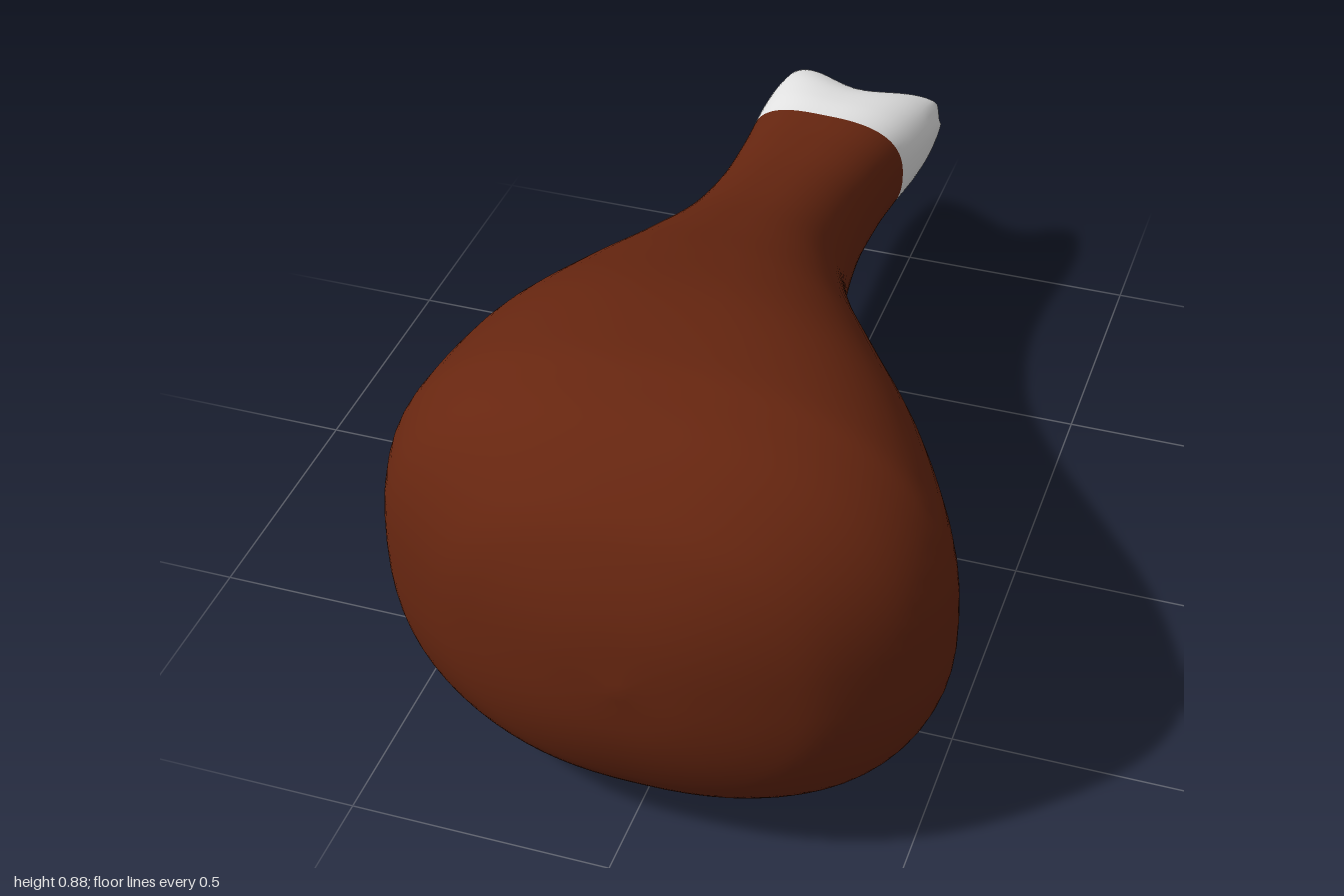
import * as THREE from 'three';
import { mergeVertices } from 'three/addons/utils/BufferGeometryUtils.js';

const MID_Y = 0.437;
const SIDES = 72;
const smooth = THREE.MathUtils.smoothstep;
const lerp = THREE.MathUtils.lerp;

// Smooth interpolation through rows of [position, left x, right x, half height]
function profile(rows) {
  const a = new THREE.CatmullRomCurve3(rows.map(r => new THREE.Vector3(r[0], r[1], r[2])), false, 'catmullrom', 0.5);
  const b = new THREE.CatmullRomCurve3(rows.map(r => new THREE.Vector3(r[3], 0, 0)), false, 'catmullrom', 0.5);
  return t => {
    const p = a.getPoint(t);
    return { pos: p.x, left: p.y, right: p.z, half: Math.max(0, b.getPoint(t).x) };
  };
}

// Loft of rounded-box rings; zAt(position, u) bends each ring along z, u = -1..1 across x
function loft(rows, steps, zAt) {
  const section = profile(rows);
  const power = 2 / 2.45;
  const round = v => Math.sign(v) * Math.pow(Math.abs(v), power);
  const positions = [], index = [];
  for (let i = 0; i <= steps; i++) {
    const s = section(i / steps);
    for (let j = 0; j < SIDES; j++) {
      const a = (j / SIDES) * Math.PI * 2;
      const u = round(Math.cos(a)), v = round(Math.sin(a));
      positions.push((s.left + s.right) / 2 + u * (s.right - s.left) / 2, MID_Y + v * s.half, zAt(s.pos, u));
      if (i < steps) {
        const p = i * SIDES + j, q = i * SIDES + (j + 1) % SIDES;
        index.push(p, p + SIDES, q, q, p + SIDES, q + SIDES);
      }
    }
  }
  let geometry = new THREE.BufferGeometry();
  geometry.setAttribute('position', new THREE.Float32BufferAttribute(positions, 3));
  geometry.setIndex(index);
  geometry = mergeVertices(geometry, 1e-5);
  geometry.computeVertexNormals();
  return geometry;
}

// Curved line where the meat ends on the bone
const seamBend = u => -0.03 * u * u + 0.008 * u;

// End of the bone: two knuckles with a valley between them
function boneTip(u) {
  if (u < -0.84) return lerp(-0.93, -1.0, smooth(u, -1, -0.84));
  if (u < 0.09) return lerp(-1.0, -0.918, smooth(u, -0.84, 0.09));
  if (u < 0.87) return lerp(-0.918, -0.965, smooth(u, 0.09, 0.87));
  return lerp(-0.965, -0.91, smooth(u, 0.87, 1));
}

export function createModel() {
  const meat = new THREE.MeshStandardMaterial({ color: 0x672610 });
  meat.name = 'roastedBrown';
  const bone = new THREE.MeshStandardMaterial({ color: 0xe8e8e8 });
  bone.name = 'boneWhite';

  const group = new THREE.Group();
  group.name = 'drumstick';

  // Meat: from the rounded front down to the neck
  const meatRows = [
    [1.0, 0.03, 0.03, 0],
    [0.985, -0.11, 0.17, 0.13],
    [0.95, -0.24, 0.3, 0.235],
    [0.9, -0.345, 0.395, 0.315],
    [0.8, -0.47, 0.495, 0.4],
    [0.7, -0.525, 0.535, 0.43],
    [0.6, -0.537, 0.52, 0.437],
    [0.4, -0.505, 0.42, 0.415],
    [0.2, -0.435, 0.29, 0.357],
    [0.0, -0.36, 0.165, 0.284],
    [-0.2, -0.302, 0.075, 0.215],
    [-0.4, -0.281, 0.043, 0.165],
    [-0.55, -0.282, 0.046, 0.142],
    [-0.66, -0.288, 0.06, 0.133],
  ];
  const meatMesh = new THREE.Mesh(
    loft(meatRows, 91, (z, u) => z + seamBend(u) * smooth(-z, 0.3, 0.66)), meat);
  meatMesh.name = 'meat';

  // Bone: from the seam (0) to the knuckle ends (1)
  const boneRows = [
    [0, -0.288, 0.06, 0.133],
    [0.3, -0.293, 0.075, 0.125],
    [0.6, -0.296, 0.084, 0.106],
    [0.83, -0.296, 0.086, 0.075],
    [0.95, -0.295, 0.085, 0.042],
    [1, -0.294, 0.084, 0],
  ];
  const boneMesh = new THREE.Mesh(
    loft(boneRows, 35, (t, u) => lerp(-0.66 + seamBend(u), boneTip(u), t)), bone);
  boneMesh.name = 'bone';

  group.add(meatMesh, boneMesh);
  return group;
}
